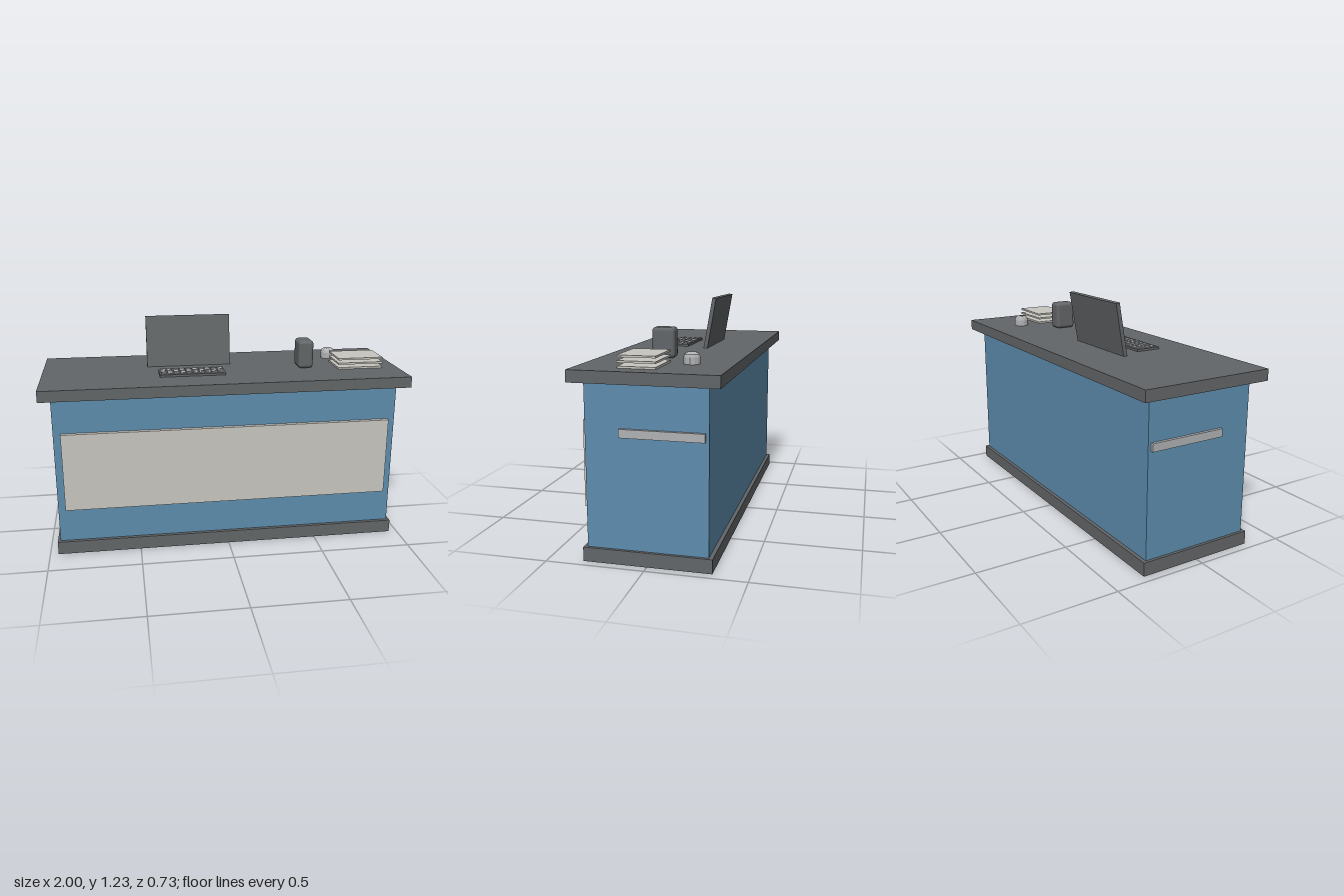
import * as THREE from 'three';
import { RoundedBoxGeometry } from 'three/addons/geometries/RoundedBoxGeometry.js';

const mat = (name, color) => {
  const m = new THREE.MeshStandardMaterial({ color });
  m.name = name;
  return m;
};

export function createModel() {
  const charcoal = mat('charcoal', 0x636668);
  const blue = mat('blue', 0x5e8dae);
  const cream = mat('cream', 0xc8c7c0);
  const grey = mat('lightGrey', 0xb0b2b4);

  const model = new THREE.Group();
  model.name = 'receptionDesk';

  const add = (name, geometry, material, x, y, z, parent = model) => {
    const mesh = new THREE.Mesh(geometry, material);
    mesh.name = name;
    mesh.position.set(x, y, z);
    parent.add(mesh);
    return mesh;
  };
  const box = (name, material, w, h, d, x, y, z, parent) =>
    add(name, new THREE.BoxGeometry(w, h, d), material, x, y, z, parent);

  // Desk: plinth, body, worktop and front panel
  box('plinth', charcoal, 1.91, 0.072, 0.644, 0, 0.036, 0);
  box('body', blue, 1.88, 0.82, 0.604, 0, 0.481, 0);
  box('worktop', charcoal, 2, 0.06, 0.73, 0, 0.92, 0);
  box('frontPanel', cream, 1.8, 0.434, 0.024, 0, 0.479, 0.314);

  // Rail on each side
  for (const [name, s] of [['leftRail', 1], ['rightRail', -1]]) {
    box(name, grey, 0.018, 0.042, 0.415, s * 0.947, 0.651, -0.078);
  }

  // Screen leaning back
  const screen = box('screen', charcoal, 0.48, 0.29, 0.022, -0.175, 1.09, -0.106);
  screen.rotation.x = -THREE.MathUtils.degToRad(10);

  // Keyboard with a grid of keys
  const keyboard = new THREE.Group();
  keyboard.name = 'keyboard';
  keyboard.position.set(-0.177, 0.95, 0.104);
  model.add(keyboard);
  box('keyboardBase', charcoal, 0.364, 0.012, 0.14, 0, 0.006, 0, keyboard);
  for (let row = 0; row < 4; row++) {
    for (let col = 0; col < 10; col++) {
      box('key', grey, 0.028, 0.005, 0.023,
        (col - 4.5) * 0.0352, 0.0138, (row - 1.5) * 0.0295 - 0.004, keyboard);
    }
  }

  // Rounded pen holder
  add('penHolder', new RoundedBoxGeometry(0.086, 0.158, 0.12, 3, 0.02), charcoal, 0.476, 1.028, 0.037);

  // Three paper trays
  for (let i = 0; i < 3; i++) {
    box('paperTray', cream, 0.258, 0.01, 0.19, 0.78, 0.956 + i * 0.026, 0.053);
  }

  // Domed desk bell
  const bellProfile = [[0, 0], [0.042, 0], [0.042, 0.034], [0.037, 0.048], [0.025, 0.057], [0, 0.06]]
    .map(([r, y]) => new THREE.Vector2(r, y));
  const bellMaterial = grey.clone();
  bellMaterial.name = 'bellGrey';
  bellMaterial.flatShading = true;
  add('bell', new THREE.LatheGeometry(bellProfile, 12), bellMaterial, 0.674, 0.95, -0.155);

  return model;
}
